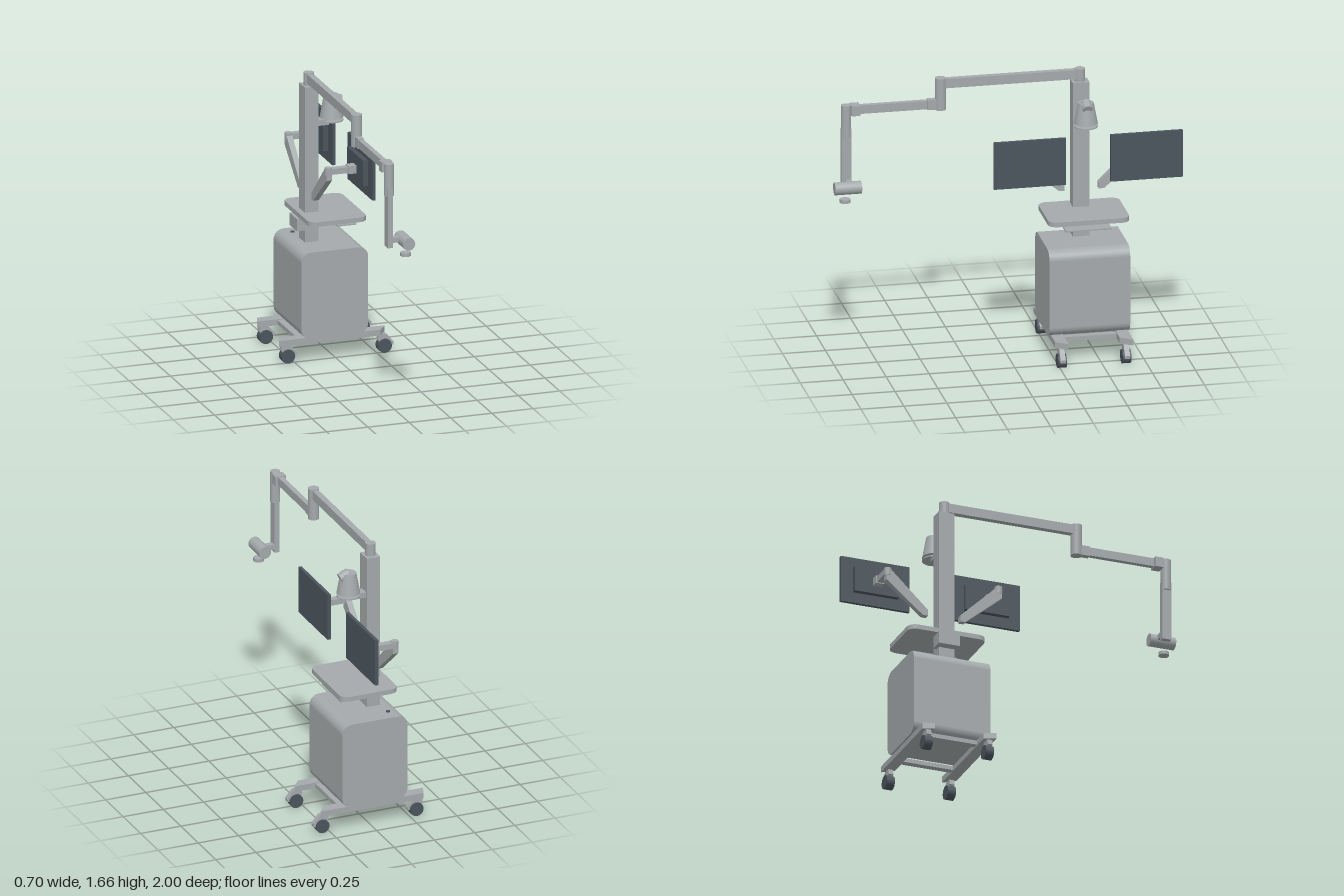
import * as THREE from 'three';

const mat = (name, color) => {
  const m = new THREE.MeshStandardMaterial({ color });
  m.name = name;
  return m;
};

export function createModel() {
  const model = new THREE.Group();
  model.name = 'medicalCart';
  const grey = mat('light grey', 0xa4a9ab);
  const dark = mat('slate grey', 0x4b555d);

  const add = (name, geo, m = grey) => {
    const mesh = new THREE.Mesh(geo, m);
    mesh.name = name;
    model.add(mesh);
    return mesh;
  };
  // Box given by its limits on each axis
  const box = (name, x0, x1, y0, y1, z0, z1, m) =>
    add(name, new THREE.BoxGeometry(x1 - x0, y1 - y0, z1 - z0)
      .translate((x0 + x1) / 2, (y0 + y1) / 2, (z0 + z1) / 2), m);
  // Upright cylinder from y0 to y1
  const post = (name, x, z, r, y0, y1, m, rTop = r) =>
    add(name, new THREE.CylinderGeometry(rTop, r, y1 - y0, 32).translate(x, (y0 + y1) / 2, z), m);
  // Rounded rectangle outline
  const roundRect = (x0, x1, y0, y1, r) => {
    const s = new THREE.Shape();
    s.absarc(x1 - r, y1 - r, r, 0, Math.PI / 2);
    s.absarc(x0 + r, y1 - r, r, Math.PI / 2, Math.PI);
    s.absarc(x0 + r, y0 + r, r, Math.PI, Math.PI * 1.5);
    s.absarc(x1 - r, y0 + r, r, Math.PI * 1.5, Math.PI * 2);
    return s;
  };
  const polygon = (pts) => new THREE.Shape(pts.map(([x, y]) => new THREE.Vector2(x, y)));
  const extrude = (shape, depth) =>
    new THREE.ExtrudeGeometry(shape, { depth, bevelEnabled: false, curveSegments: 10 });
  // Plan shape (x, -z) extruded upwards from y0
  const slab = (name, shape, y0, h) =>
    add(name, extrude(shape, h).rotateX(-Math.PI / 2).translate(0, y0, 0));

  // Cabinet, with rounded long edges
  add('cabinet', extrude(roundRect(-0.22, 0.185, 0.142, 0.66, 0.06), 0.47).translate(0, 0, -0.685));
  post('powerButton', -0.135, -0.603, 0.011, 0.655, 0.667, dark);

  // Base rails with slanted ends, and casters below them
  for (const z of [-0.265, -0.64]) {
    slab('baseRail', polygon([[-0.35, -z - 0.034], [0.265, -z - 0.034], [0.315, -z + 0.034], [-0.325, -z + 0.034]]), 0.11, 0.035);
    for (const x of [-0.29, 0.295]) {
      const wheel = new THREE.CylinderGeometry(0.041, 0.041, 0.05, 28).rotateX(Math.PI / 2);
      add('casterWheel', wheel.translate(x, 0.042, z + 0.004), dark);
      const fork = polygon([[-0.035, 0.112], [0.012, 0.112], [0.055, 0.06], [0.053, 0.042], [-0.01, 0.042], [-0.04, 0.08]]);
      add('casterFork', extrude(fork, 0.03).translate(x, 0, z - 0.011));
    }
  }
  for (const x of [-0.205, 0.165]) box('baseCrossbar', x - 0.02, x + 0.02, 0.115, 0.14, -0.64, -0.265);

  // Column, work tray and what hangs beneath the tray
  box('column', -0.132, -0.05, 0.65, 1.59, -0.497, -0.4);
  slab('tray', roundRect(-0.167, 0.185, 0.215, 0.687, 0.05), 0.81, 0.028);
  box('trayBracket', -0.185, -0.097, 0.737, 0.81, -0.517, -0.387);
  box('keyboardShelf', 0.035, 0.15, 0.762, 0.77, -0.585, -0.317);

  // Camera boom
  const bx = -0.092;
  post('boomPivot', bx, -0.448, 0.03, 1.535, 1.665);
  box('upperBoom', bx - 0.018, bx + 0.018, 1.605, 1.66, -0.445, 0.36);
  post('boomElbow', bx, 0.363, 0.032, 1.475, 1.665);
  box('elbowBlock', bx - 0.018, bx + 0.018, 1.48, 1.54, 0.365, 0.44);
  box('foreBoom', bx - 0.015, bx + 0.015, 1.485, 1.535, 0.39, 0.9);
  box('wristBlock', bx - 0.033, bx + 0.033, 1.48, 1.54, 0.835, 0.885);
  post('wrist', bx, 0.913, 0.029, 1.35, 1.54);
  box('dropArm', bx - 0.016, bx + 0.016, 1.04, 1.4, 0.885, 0.941);
  box('headLink', bx, -0.025, 1.062, 1.092, 0.885, 0.92);
  add('cameraHead', new THREE.CylinderGeometry(0.037, 0.037, 0.155, 32).rotateX(Math.PI / 2).translate(0, 1.07, 0.922));
  post('cameraLens', 0, 0.937, 0.031, 0.985, 1.005);

  // Two side screens on angled struts, mirrored about the column
  for (const s of [1, -1]) {
    const z = -0.455 + s * 0.34;
    const span = (name, x0, x1, y0, y1, half, m) => box(name, x0, x1, y0, y1, z - half, z + half, m);
    const strut = polygon([[0.1, 0.932], [0.13, 0.932], [0.355, 1.12], [0.355, 1.18], [0.32, 1.18], [0.1, 0.97]]);
    const geo = extrude(strut, 0.034).translate(0, 0, -0.017).rotateY(-s * Math.PI / 2);
    add('screenStrut', geo.translate(bx, 0, -0.455));
    post('strutPivot', bx, z, 0.022, 1.15, 1.195);
    span('screenArm', bx, 0.035, 1.155, 1.19, 0.02);
    span('screenJoint', 0.02, 0.07, 1.15, 1.197, 0.026);
    span('screenBack', 0.07, 0.103, 1.105, 1.26, 0.136, dark);
    span('screen', 0.1, 0.12, 1.04, 1.322, 0.21, dark);
  }

  // Lamp on the column
  const lx = 0.048, lz = -0.455;
  box('lampBracket', -0.06, 0.022, 1.342, 1.375, lz - 0.03, lz + 0.03);
  post('lampRing', lx, lz, 0.068, 1.36, 1.368);
  post('lampHood', lx, lz, 0.068, 1.38, 1.505, grey, 0.045);
  const knob = add('lampKnob', new THREE.CylinderGeometry(0.029, 0.029, 0.06, 28));
  knob.position.set(0.073, 1.49, lz);
  knob.rotation.z = -Math.PI / 2 - 0.45;

  return model;
}
